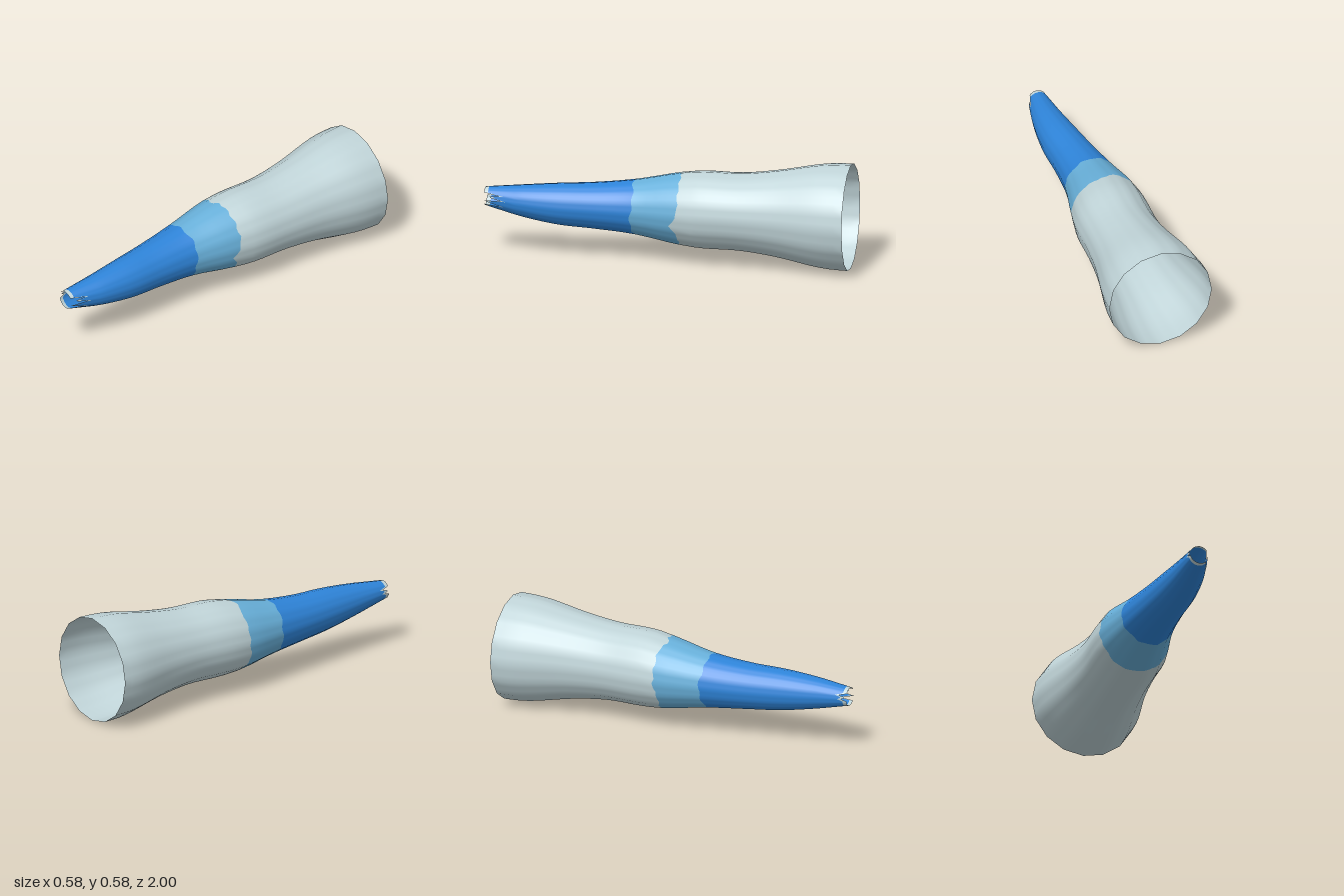
import * as THREE from 'three';

// Cross-sections along the tube: z, left x, right x, bottom y, top y
const SECTIONS = [
  [-1, -0.292, 0.292, 0.002, 0.585],
  [-0.9, -0.288, 0.288, 0.006, 0.583],
  [-0.8, -0.27, 0.275, 0.02, 0.572],
  [-0.6, -0.225, 0.238, 0.06, 0.535],
  [-0.4, -0.203, 0.22, 0.084, 0.51],
  [-0.2, -0.208, 0.213, 0.085, 0.508],
  [-0.05, -0.204, 0.188, 0.098, 0.488],
  [0.18, -0.163, 0.14, 0.138, 0.44],
  [0.4, -0.125, 0.126, 0.16, 0.415],
  [0.6, -0.092, 0.128, 0.178, 0.405],
  [0.8, -0.06, 0.11, 0.215, 0.388],
  [1, -0.033, 0.07, 0.265, 0.366],
];
const SIDES = 16;
const SPLIT = 3;
const COUNT = SIDES * SPLIT;

const curve = (f) => new THREE.CatmullRomCurve3(
  SECTIONS.map(([z, l, r, b, t]) => f(l, r, b, t, z)), false, 'catmullrom', 0.5);
const centre = curve((l, r, b, t, z) => new THREE.Vector3((l + r) / 2, (b + t) / 2, z));
const radius = curve((l, r, b, t, z) => new THREE.Vector3((r - l) / 2, (t - b) / 2, z));

// Find the curve parameter at a given z
function paramAt(z) {
  let lo = 0, hi = 1;
  for (let i = 0; i < 24; i++) {
    const mid = (lo + hi) / 2;
    if (centre.getPoint(mid).z < z) lo = mid; else hi = mid;
  }
  return (lo + hi) / 2;
}

// Point on the sixteen-sided wall; j runs round from the top towards +x
function wallPoint(z, j) {
  const t = paramAt(z), c = centre.getPoint(t), r = radius.getPoint(t);
  const side = Math.floor(j / SPLIT), f = (j % SPLIT) / SPLIT;
  const a = (side / SIDES) * Math.PI * 2, b = ((side + 1) / SIDES) * Math.PI * 2;
  const x = Math.sin(a) * (1 - f) + Math.sin(b) * f;
  const y = Math.cos(a) * (1 - f) + Math.cos(b) * f;
  return [c.x + r.x * x, c.y + r.y * y, z];
}

// Uneven colour borders and torn tip
const bump = (j, at, width) => {
  const d = Math.abs(j - at);
  return Math.max(0, 1 - Math.min(d, COUNT - d) / width);
};
const paleBorder = (j) => 0.028 * bump(j, 46, 2) + 0.04 * bump(j, 14, 3) + 0.02 * bump(j, 32, 4)
  + 0.006 * Math.sin(j * 1.9);
const deepBorder = (j) => 0.012 * Math.sin(j * 0.8) * Math.sin(j * 0.37);
const NOTCHES = [[9, 0.085], [12, 0.1], [16, 0.09], [36, 0.03], [39, 0.045]];
const tear = (j) => -NOTCHES.reduce((s, [at, depth]) => s + depth * bump(j, at, 1.6), 0);

export function createModel() {
  const mat = (name, color) => {
    const m = new THREE.MeshStandardMaterial({ color, side: THREE.DoubleSide });
    m.name = name;
    return m;
  };
  const materials = [mat('paleGrey', 0xc0d4d8), mat('lightBlue', 0x68b0da), mat('deepBlue', 0x2e84d9)];

  // Rings: z, offset rule, colour of the band that follows
  const rings = [];
  for (let i = 0; i <= 17; i++) rings.push([-1 + i * 0.05, null, 0]);
  rings.push([-0.075, paleBorder, 1]);
  for (const z of [0, 0.05, 0.1, 0.14]) rings.push([z, null, 1]);
  rings.push([0.185, deepBorder, 2]);
  for (let z = 0.23; z < 0.88; z += 0.05) rings.push([z, null, 2]);
  rings.push([0.978, tear, 0], [1, tear, 0]);

  const positions = [], index = [];
  const geometry = new THREE.BufferGeometry();
  rings.forEach(([z, offset, colour], i) => {
    for (let j = 0; j < COUNT; j++) positions.push(...wallPoint(z + (offset ? offset(j) : 0), j));
    if (i === rings.length - 1) return;
    geometry.addGroup(index.length, COUNT * 6, colour);
    for (let j = 0; j < COUNT; j++) {
      const a = i * COUNT + j, b = i * COUNT + (j + 1) % COUNT;
      index.push(a, a + COUNT, b, b, a + COUNT, b + COUNT);
    }
  });
  geometry.setAttribute('position', new THREE.Float32BufferAttribute(positions, 3));
  geometry.setIndex(index);
  geometry.computeVertexNormals();

  const tube = new THREE.Mesh(geometry, materials);
  tube.name = 'taperedTube';
  const group = new THREE.Group();
  group.name = 'openSleeve';
  group.add(tube);
  return group;
}
